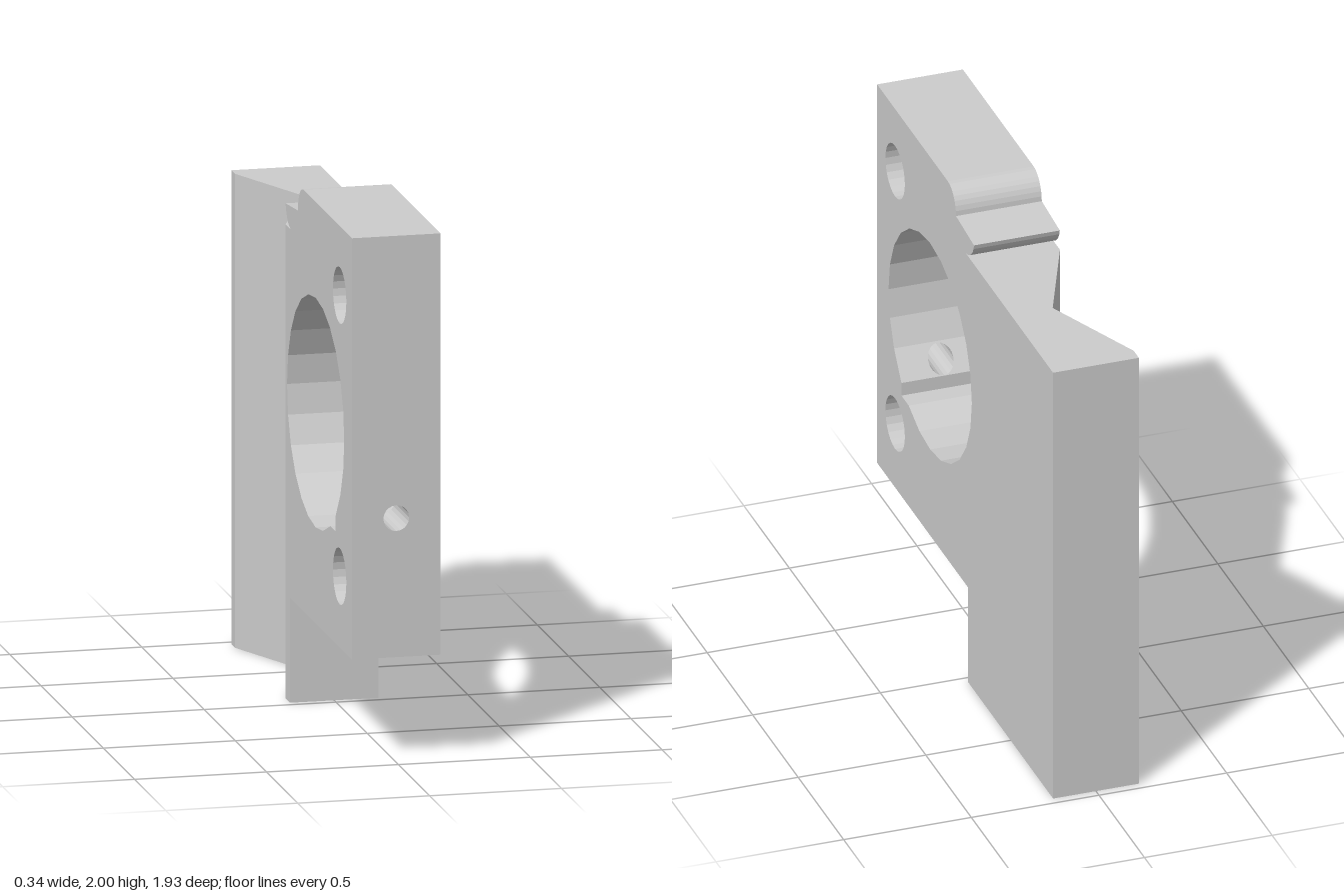
import * as THREE from 'three';

const W = 0.168;        // half thickness (x)
const Z = 0.967;        // half depth
const GROOVE = -0.1;    // z where the V groove section begins
const SHELF = 1.8;      // height of the lower rear top

// Points [u, v] along an elliptical arc, angles in degrees
function arc(cu, cv, ru, rv, from, to, steps) {
  return Array.from({ length: steps + 1 }, (_, i) => {
    const a = THREE.MathUtils.degToRad(from + (to - from) * i / steps);
    return [cu + ru * Math.cos(a), cv + rv * Math.sin(a)];
  });
}

const vectors = points => points.map(p => new THREE.Vector2(p[0], p[1]));

// Flat panel with holes, placed in space by map(u, v)
function panel(points, holes, map, flip) {
  const shape = new THREE.Shape(vectors(points));
  shape.holes = holes.map(h => new THREE.Path(vectors(h)));
  const geo = new THREE.ShapeGeometry(shape);
  const pos = geo.attributes.position;
  for (let i = 0; i < pos.count; i++) pos.setXYZ(i, ...map(pos.getX(i), pos.getY(i)));
  if (flip) geo.index.array.reverse();
  geo.computeVertexNormals();
  return geo;
}

// Strip of quads joining two equal rows of 3D points
function loft(a, b) {
  const index = [];
  const n = a.length;
  for (let i = 0; i < n - 1; i++) index.push(i, n + i, n + i + 1, i, n + i + 1, i + 1);
  const geo = new THREE.BufferGeometry();
  geo.setAttribute('position', new THREE.Float32BufferAttribute([...a, ...b].flat(), 3));
  geo.setIndex(index);
  geo.computeVertexNormals();
  return geo;
}

// Wall across the thickness along a [z, y] path
const wall = path => loft(path.map(([z, y]) => [-W, y, z]), path.map(([z, y]) => [W, y, z]));

export function createModel() {
  const group = new THREE.Group();
  const material = new THREE.MeshStandardMaterial({ color: 0xcccccc, flatShading: true });
  const add = (name, geo) => {
    const mesh = new THREE.Mesh(geo, material);
    mesh.name = name;
    group.add(mesh);
  };

  // Side outline in [z, y]: lower edge, then upper edge with its S-shaped step
  const lower = [[GROOVE, 0], [-0.03, 0], [-0.03, 0.4], [Z, 0.4]];
  const upper = [
    [Z, 2],
    ...arc(0.19, 1.9, 0.09, 0.1, 90, 180, 8).map(([z, y]) => [z, y]),
    ...arc(0, 1.9, 0.1, 0.1, 180, 270, 8).slice(1),
    [GROOVE, SHELF],
  ];

  // Large bore with a small square notch at its lower front
  const bore = [
    ...arc(0.384, 1.2, 0.458, 0.436, -30, 300, 22),
    [0.62, 0.825], [0.70, 0.825], [0.70, 0.878],
  ];
  const bolts = [1.737, 0.67].map(y => arc(0.769, y, 0.107, 0.107, 0, 360, 24));
  const openings = [bore, ...bolts].map(p => p.slice());

  // Broad side faces
  add('leftFace', panel([...lower, ...upper, [-Z, SHELF], [-Z, 0]], openings,
    (z, y) => [W, y, z], true));
  add('rightFace', panel([...lower, ...upper], openings, (z, y) => [-W, y, z], false));

  // Outer edges
  add('lowerEdge', wall(lower));
  add('upperEdge', wall(upper));

  // Inner walls of bore and bolt holes
  add('boreWall', wall([...bore].reverse()));
  bolts.forEach(b => add('boltHole', wall([...b].reverse())));

  // Pin hole from the front edge into the bore
  const pin = arc(0, 0.928, 0.049, 0.049, 0, 360, 20);
  const [zTop, yTop] = bore[0];
  const [zLow, yLow] = bore[bore.length - 1];
  const boreZ = y => zLow + (zTop - zLow) * (y - yLow) / (yTop - yLow);
  const rect = (y0, y1) => [[-W, y0], [W, y0], [W, y1], [-W, y1]];
  add('frontEdge', panel(rect(0.4, 2), [pin], (x, y) => [x, y, Z], false));
  add('borePinFacet', panel(rect(yLow, yTop), [pin], (x, y) => [x, y, boreZ(y)], true));
  add('pinHole', loft(pin.map(([x, y]) => [x, y, boreZ(y)]), pin.map(([x, y]) => [x, y, Z])));

  // Rear block with the vertical V groove, section in [x, z]
  const section = [[-W, GROOVE], [0.005, -0.505], [-W, -0.91], [-W, -Z], [W, -Z]];
  add('grooveAndBack', loft(section.map(([x, z]) => [x, 0, z]),
    section.map(([x, z]) => [x, SHELF, z])));
  const cap = [...section, [W, GROOVE]];
  add('rearBottom', panel(cap, [], (x, z) => [x, 0, z], false));
  add('rearTop', panel(cap, [], (x, z) => [x, SHELF, z], true));

  return group;
}
